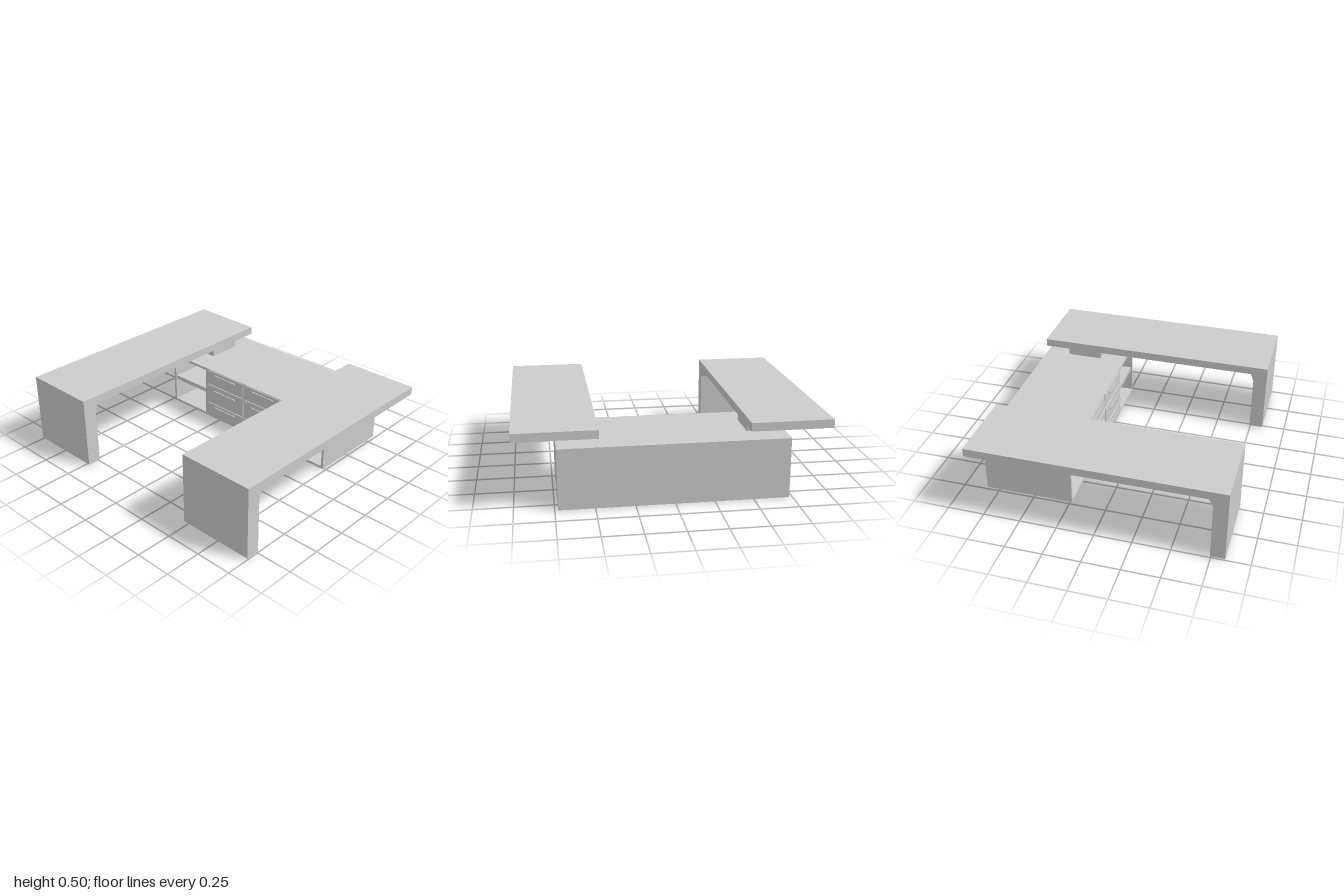
import * as THREE from 'three';

export function createModel() {
  const group = new THREE.Group();
  const material = new THREE.MeshStandardMaterial({ color: 0xcccccc });

  const add = (name, geometry) => {
    const mesh = new THREE.Mesh(geometry, material);
    mesh.name = name;
    group.add(mesh);
    return mesh;
  };
  // Box given by its minimum and maximum on each axis
  const box = (name, x0, x1, y0, y1, z0, z1) => {
    const mesh = add(name, new THREE.BoxGeometry(x1 - x0, y1 - y0, z1 - z0));
    mesh.position.set((x0 + x1) / 2, (y0 + y1) / 2, (z0 + z1) / 2);
    return mesh;
  };

  const back = -0.84, front = -0.238, top = 0.395, wall = 0.018, half = 0.73;

  // Cabinet carcass: solid drawer core between two open compartments
  box('cabinetBottom', -half, half, 0, wall, back, front);
  box('cabinetTop', -half, half, top - wall, top, back, front);
  box('cabinetBack', -half, half, wall, top - wall, back, back + wall);
  box('drawerCore', -0.39, 0.39, wall, top - wall, back + wall, front);

  // Desk profile in (z, y): long top turning down into a slab leg
  const profile = new THREE.Shape([
    [-0.84, 0.45], [0.72, 0.45], [0.735, 0.423], [0.745, 0.395], [0.745, 0.01],
    [0.84, 0.01], [0.84, 0.505], [-0.84, 0.505],
  ].map(([z, y]) => new THREE.Vector2(-z, y)));

  for (const s of [-1, 1]) {
    const side = (name, x0, x1, ...rest) =>
      box(name, Math.min(s * x0, s * x1), Math.max(s * x0, s * x1), ...rest);
    side('cabinetSide', half - wall, half, wall, top - wall, back + wall, front);
    side('compartmentShelf', 0.39, half - wall, 0.185, 0.215, back + wall, front - 0.01);
    side('deskSpacer', 0.485, 0.72, top, 0.45, -0.665, -0.42);

    const desk = add('desk', new THREE.ExtrudeGeometry(profile, { depth: 0.53, bevelEnabled: false }));
    desk.rotation.y = Math.PI / 2;
    desk.position.x = s > 0 ? 0.47 : -1;
  }

  // Drawer fronts with bevelled rims, bar handles on two posts, and locks
  const rows = [[0.01, 0.122, 0.10, 0.008], [0.13, 0.275, 0.237, 0.012], [0.284, 0.393, 0.37, 0.008]];
  for (const s of [-1, 1]) {
    for (const [y0, y1, handleY, handleH] of rows) {
      const b = 0.004, w = 0.35 - 2 * b, h = y1 - y0 - 2 * b;
      const rect = new THREE.Shape([
        new THREE.Vector2(-w / 2, -h / 2), new THREE.Vector2(w / 2, -h / 2),
        new THREE.Vector2(w / 2, h / 2), new THREE.Vector2(-w / 2, h / 2),
      ]);
      const panel = add('drawerFront', new THREE.ExtrudeGeometry(rect, {
        depth: 0.002, bevelSize: b, bevelThickness: b, bevelSegments: 1,
      }));
      panel.position.set(s * 0.182, (y0 + y1) / 2, front + 0.002);

      const cx = s * 0.182;
      box('drawerHandle', cx - 0.105, cx + 0.105, handleY - handleH / 2, handleY + handleH / 2, -0.222, -0.215);
      for (const p of [-0.085, 0.085])
        box('handlePost', cx + p - 0.004, cx + p + 0.004, handleY - 0.003, handleY + 0.003, -0.232, -0.22);
    }
    const lock = add('drawerLock', new THREE.CylinderGeometry(0.008, 0.008, 0.006, 16));
    lock.rotation.x = Math.PI / 2;
    lock.position.set(s < 0 ? -0.345 : 0.017, 0.258, -0.228);
  }
  return group;
}
